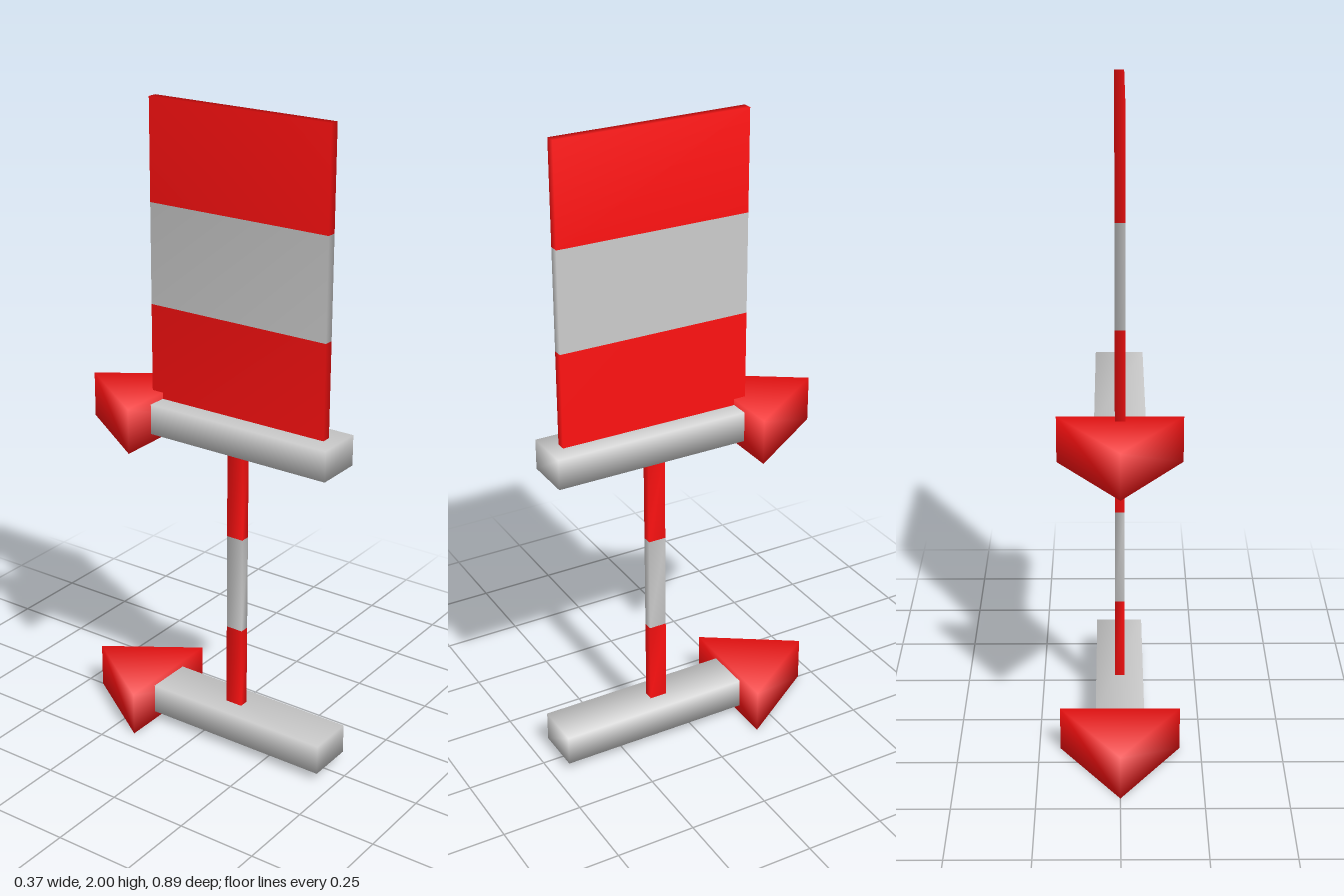
import * as THREE from 'three';
import { mergeVertices } from 'three/addons/utils/BufferGeometryUtils.js';

const grey = new THREE.MeshStandardMaterial({ color: 0xcccccc });
const red = new THREE.MeshStandardMaterial({ color: 0xff1111 });

// Share the corners so that shading runs smoothly over the edges
function weld(geometry) {
  geometry.deleteAttribute('normal');
  geometry.deleteAttribute('uv');
  geometry.clearGroups();
  const welded = mergeVertices(geometry, 1e-4);
  welded.computeVertexNormals();
  return welded;
}

// Box between two corners; openFaces lists hidden sides to leave out
// (2 = top, 3 = bottom, 5 = back)
function box(name, material, min, max, openFaces = []) {
  const size = max.map((v, i) => v - min[i]);
  const geometry = new THREE.BoxGeometry(...size);
  geometry.translate(...max.map((v, i) => (v + min[i]) / 2));
  const index = Array.from(geometry.index.array);
  geometry.setIndex(index.filter((_, i) => !openFaces.includes(Math.floor(i / 6))));
  const mesh = new THREE.Mesh(weld(geometry), material);
  mesh.name = name;
  return mesh;
}

// Upright bar in red, grey and red bands
function stripedBar(name, levels, z0, z1, closedTop) {
  const bar = new THREE.Group();
  bar.name = name;
  for (let i = 0; i < 3; i++) {
    const open = closedTop && i === 2 ? [3] : [2, 3];
    bar.add(box(`${name}Band${i + 1}`, i === 1 ? grey : red,
      [-0.015, levels[i], z0], [0.015, levels[i + 1], z1], open));
  }
  return bar;
}

// Flat arrow pointing to the back: grey shaft and thicker red head
function arrow(name, y) {
  const group = new THREE.Group();
  group.name = name;
  group.add(box('arrowShaft', grey, [-0.075, 0.027, -0.17], [0.075, 0.122, 0.447], [5]));

  const outline = new THREE.Shape([
    new THREE.Vector2(-0.185, 0.17),
    new THREE.Vector2(0.185, 0.17),
    new THREE.Vector2(0, 0.447),
  ]);
  const geometry = new THREE.ExtrudeGeometry(outline, { depth: 0.142, bevelEnabled: false });
  geometry.rotateX(-Math.PI / 2);
  const head = new THREE.Mesh(weld(geometry), red);
  head.name = 'arrowHead';
  group.add(head);

  group.position.y = y;
  return group;
}

export function createModel() {
  const model = new THREE.Group();
  model.name = 'windVane';
  model.add(
    arrow('lowerArrow', 0),
    arrow('upperArrow', 0.967),
    stripedBar('pole', [0.122, 0.387, 0.697, 0.994], 0.069, 0.125, false),
    stripedBar('plate', [1.089, 1.382, 1.692, 2], -0.208, 0.402, true),
  );
  return model;
}
